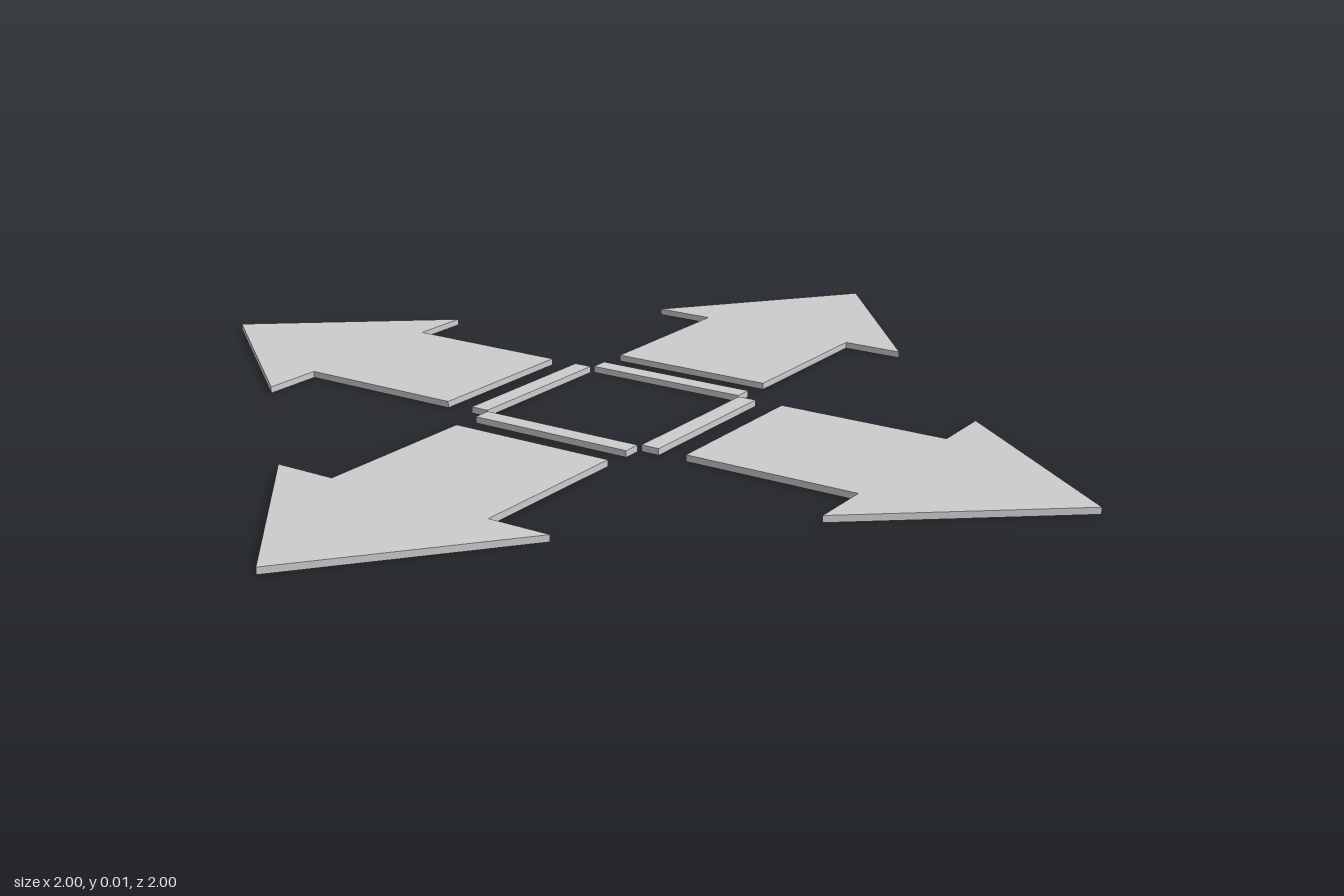
import * as THREE from 'three';

const THICKNESS = 0.013;
const material = new THREE.MeshStandardMaterial({ color: 0xcccccc, flatShading: true });

// Flat plate from an outline whose +y direction points away from the centre (-z)
function plate(points, name) {
  const shape = new THREE.Shape(points.map(([x, y]) => new THREE.Vector2(x, y)));
  const geometry = new THREE.ExtrudeGeometry(shape, { depth: THICKNESS, bevelEnabled: false });
  geometry.rotateX(-Math.PI / 2);
  const mesh = new THREE.Mesh(geometry, material);
  mesh.name = name;
  return mesh;
}

export function createModel() {
  const model = new THREE.Group();
  model.name = 'fourWayArrows';

  const shaft = 0.174, head = 0.301;
  const arrowOutline = [
    [-shaft, 0.276], [shaft, 0.276], [shaft, 0.628], [head, 0.628],
    [0, 1], [-head, 0.628], [-shaft, 0.628],
  ];
  const barOutline = [[-shaft, 0.179], [shaft, 0.179], [shaft, 0.217], [-shaft, 0.217]];

  // One arrow and one centre bar per direction
  ['back', 'left', 'front', 'right'].forEach((side, i) => {
    const arm = new THREE.Group();
    arm.name = side + 'Arm';
    // a clockwise turn from the back reaches the model's left (+x)
    arm.rotation.y = -i * Math.PI / 2;
    arm.add(plate(arrowOutline, side + 'Arrow'), plate(barOutline, side + 'Bar'));
    model.add(arm);
  });

  return model;
}
